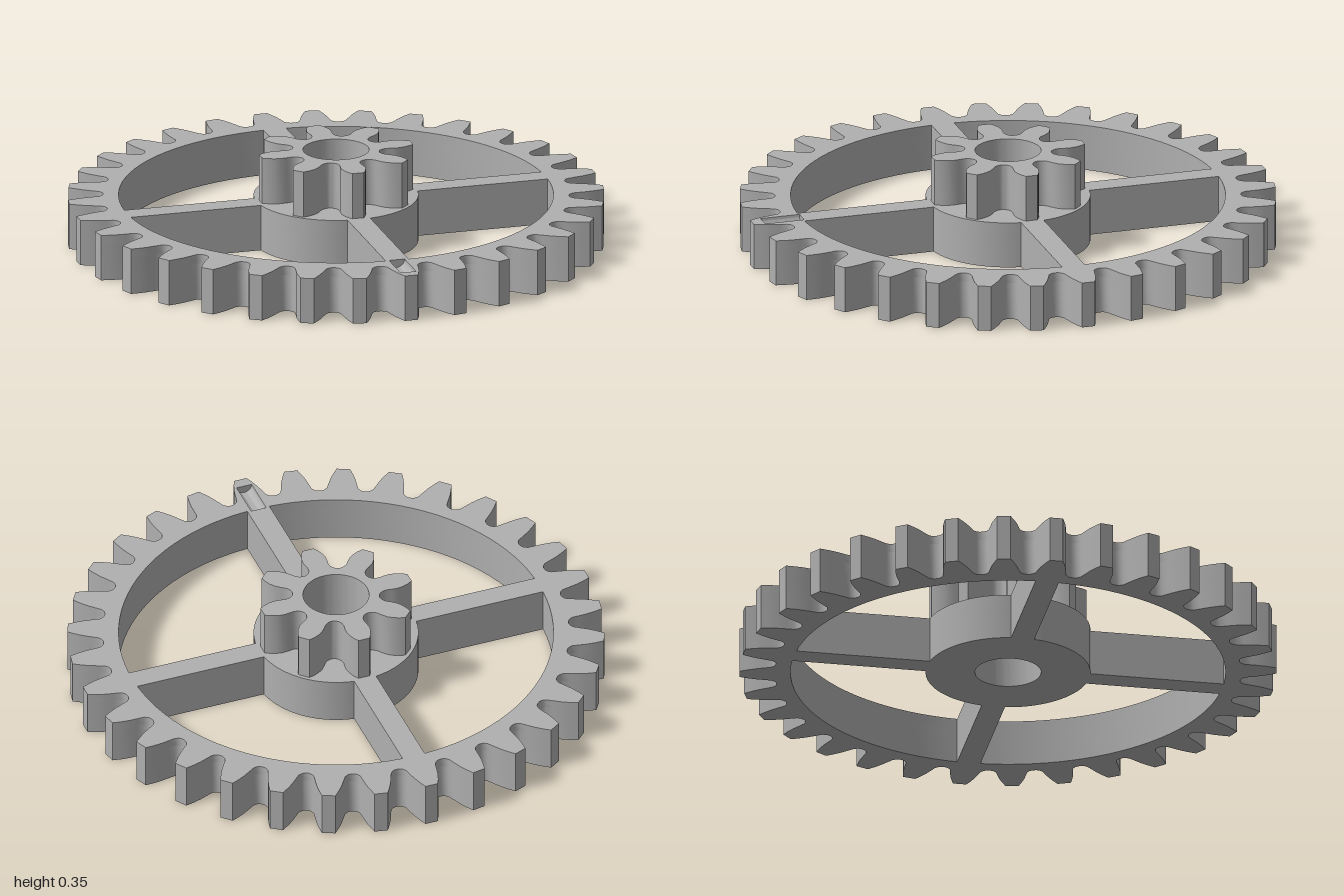
import * as THREE from 'three';
import { toCreasedNormals } from 'three/addons/utils/BufferGeometryUtils.js';

const WHEEL_H = 0.176, TOP = 0.353, GROOVE_DEPTH = 0.034;
const BORE = 0.123, HUB = 0.307, RIM = 0.81, SPOKE_HALF = 0.044;
const SPOKE_ANGLE = Math.PI * 3 / 8;

const polar = (r, a) => new THREE.Vector2(r * Math.cos(a), r * Math.sin(a));

// Gear outline: half a tooth as [radius, half angle] from root to tip, mirrored and repeated
function gearShape(teeth, offset, half) {
  const pts = [];
  for (let i = 0; i < teeth; i++) {
    const a = offset + i * Math.PI * 2 / teeth;
    for (const [r, h] of half) pts.push(polar(r, a - h));
    for (const [r, h] of [...half].reverse()) pts.push(polar(r, a + h));
  }
  return new THREE.Shape(pts);
}

function circleHole(r) {
  return new THREE.Path().absarc(0, 0, r, 0, Math.PI * 2, true);
}

// Opening between two neighbouring spokes
function windowHole(start) {
  const outer = Math.asin(SPOKE_HALF / RIM), inner = Math.asin(SPOKE_HALF / HUB);
  const end = start + Math.PI / 2, n = 24, pts = [];
  for (let i = 0; i <= n; i++) pts.push(polar(RIM, THREE.MathUtils.lerp(start + outer, end - outer, i / n)));
  for (let i = 0; i <= n; i++) pts.push(polar(HUB, THREE.MathUtils.lerp(end - inner, start + inner, i / n)));
  return new THREE.Path(pts);
}

// Upright extrusion of a plan shape
function slab(name, shape, y, height, material) {
  const geo = new THREE.ExtrudeGeometry(shape, { depth: height, bevelEnabled: false, curveSegments: 48 });
  geo.rotateX(-Math.PI / 2);
  const mesh = new THREE.Mesh(toCreasedNormals(geo, 0.5), material);
  mesh.name = name;
  mesh.position.y = y;
  return mesh;
}

export function createModel() {
  const group = new THREE.Group();
  group.name = 'compoundGear';
  const grey = new THREE.MeshStandardMaterial({ color: 0xb0b0b0 });
  grey.name = 'grey';

  // Large wheel: teeth, rim, four spokes and hub in one outline
  const wheelShape = () => {
    const s = gearShape(32, 0, [
      [0.868, 0.09], [0.873, 0.077], [0.884, 0.066], [0.91, 0.058],
      [0.941, 0.049], [0.97, 0.038], [1, 0.025],
    ]);
    s.holes.push(circleHole(BORE));
    for (let i = 0; i < 4; i++) s.holes.push(windowHole(SPOKE_ANGLE + i * Math.PI / 2));
    return s;
  };
  group.add(slab('wheelBody', wheelShape(), 0, WHEEL_H - GROOVE_DEPTH, grey));

  // Top layer of the wheel, with a slot for the timing groove
  const markAngle = SPOKE_ANGLE + Math.PI, r0 = 0.805, r1 = 0.957, w = 0.03;
  const dir = polar(1, markAngle), side = polar(1, markAngle + Math.PI / 2);
  const corner = (r, t) => dir.clone().multiplyScalar(r).addScaledVector(side, t);
  const topShape = wheelShape();
  topShape.holes.push(new THREE.Path([corner(r0, -w), corner(r1, -w), corner(r1, w), corner(r0, w)]));
  group.add(slab('wheelTop', topShape, WHEEL_H - GROOVE_DEPTH, GROOVE_DEPTH, grey));

  // Rounded bed of the timing groove
  const bed = new THREE.Shape();
  bed.moveTo(-w, -GROOVE_DEPTH);
  bed.lineTo(w, -GROOVE_DEPTH);
  bed.lineTo(w, 0);
  bed.absarc(0, 0, w, 0, -Math.PI, true);
  const bedGeo = new THREE.ExtrudeGeometry(bed, { depth: r1 - r0, bevelEnabled: false, curveSegments: 16 });
  const groove = new THREE.Mesh(toCreasedNormals(bedGeo, 0.5), grey);
  groove.name = 'timingGroove';
  groove.position.set(dir.x * r0, WHEEL_H, -dir.y * r0);
  groove.rotation.y = markAngle + Math.PI / 2;
  group.add(groove);

  // Small pinion on the hub
  const pinion = gearShape(8, Math.PI / 8, [
    [0.162, 0.36], [0.166, 0.3], [0.176, 0.245], [0.19, 0.214], [0.21, 0.21],
    [0.235, 0.196], [0.255, 0.165], [0.277, 0.12], [0.294, 0.075],
  ]);
  pinion.holes.push(circleHole(BORE));
  group.add(slab('pinion', pinion, WHEEL_H, TOP - WHEEL_H, grey));

  return group;
}
